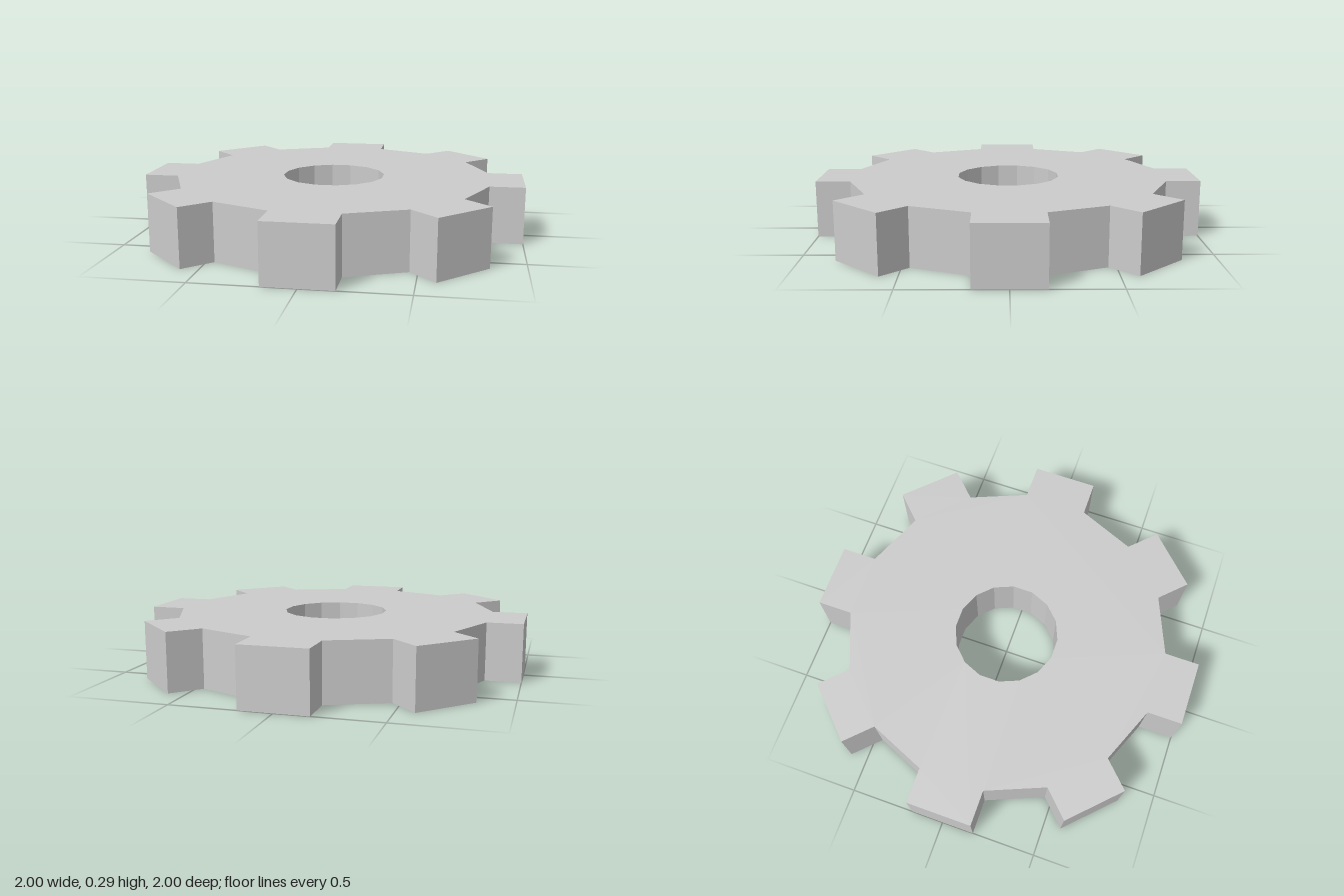
import * as THREE from 'three';

const TEETH = 8, HALF_WIDTH = 0.168, ROOT = 0.82, TIP = 1;
const HOLE_SIDES = 16, HOLE_RADIUS = 0.27, THICKNESS = 0.295;

export function createModel() {
  const group = new THREE.Group();
  group.name = 'gear';

  // Outline: one square tooth per step, straight flats between the teeth
  const tooth = [[ROOT, -HALF_WIDTH], [TIP, -HALF_WIDTH], [TIP, HALF_WIDTH], [ROOT, HALF_WIDTH]];
  const origin = new THREE.Vector2();
  const outline = [];
  for (let i = 0; i < TEETH; i++) {
    const angle = (i / TEETH) * Math.PI * 2;
    for (const [x, y] of tooth) outline.push(new THREE.Vector2(x, y).rotateAround(origin, angle));
  }
  const shape = new THREE.Shape(outline);

  // Sixteen-sided axle hole, with flats facing the axes
  const hole = [];
  for (let i = 0; i < HOLE_SIDES; i++) {
    const angle = -((i + 0.5) / HOLE_SIDES) * Math.PI * 2;
    hole.push(new THREE.Vector2(Math.cos(angle), Math.sin(angle)).multiplyScalar(HOLE_RADIUS));
  }
  shape.holes.push(new THREE.Path(hole));

  // Lay the extrusion flat on the ground
  const geometry = new THREE.ExtrudeGeometry(shape, { depth: THICKNESS, bevelEnabled: false });
  geometry.rotateX(-Math.PI / 2);

  const material = new THREE.MeshStandardMaterial({ color: 0xcccccc, flatShading: true });
  const wheel = new THREE.Mesh(geometry, material);
  wheel.name = 'gearWheel';
  group.add(wheel);
  return group;
}
